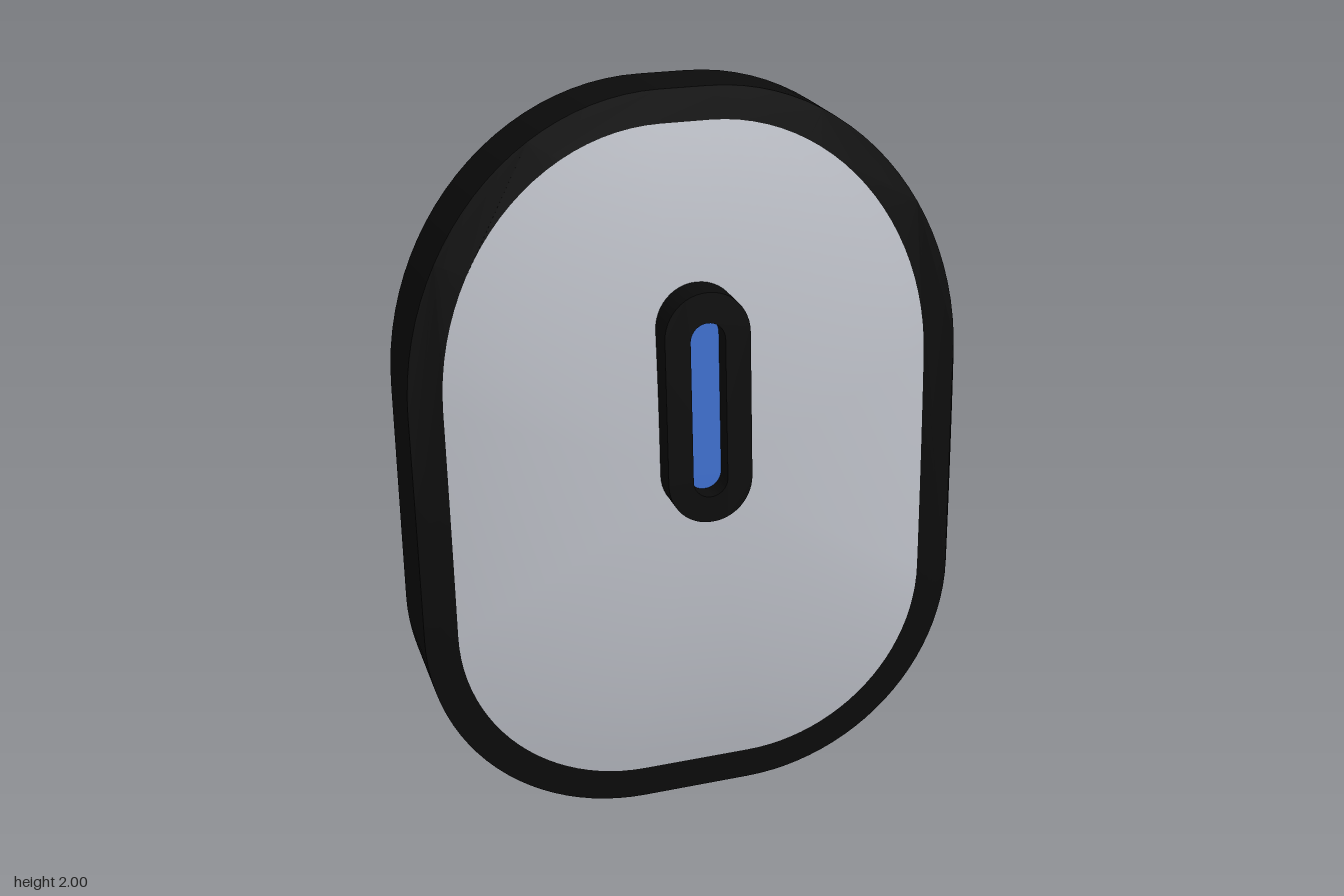
import * as THREE from 'three';
import { toCreasedNormals } from 'three/addons/utils/BufferGeometryUtils.js';

// Surface depth rules: the front leans back towards the top, the back is nearly flat
const rimZ = y => 0.09 - 0.0275 * y * y;
const backZ = y => -0.185 - 0.01 * y;
const slotZ = y => 0.21 - 0.0726 * (y - 0.9);
const CENTER_Y = 1.0;

// Counter-clockwise rounded outline with separate elliptical top and bottom corners
function outline(hw, y0, y1, [tx, ty], [bx, by], corner = 24, side = 8) {
  const pts = [];
  const arc = (cx, cy, rx, ry, start) => {
    for (let i = 0; i <= corner; i++) {
      const a = start + (i / corner) * Math.PI / 2;
      pts.push(new THREE.Vector2(cx + rx * Math.cos(a), cy + ry * Math.sin(a)));
    }
  };
  const straight = (x, ya, yb) => {
    for (let i = 1; i < side; i++) pts.push(new THREE.Vector2(x, ya + (yb - ya) * i / side));
  };
  arc(hw - bx, y0 + by, bx, by, -Math.PI / 2);
  straight(hw, y0 + by, y1 - ty);
  arc(hw - tx, y1 - ty, tx, ty, 0);
  arc(-hw + tx, y1 - ty, tx, ty, Math.PI / 2);
  straight(-hw, y1 - ty, y0 + by);
  arc(-hw + bx, y0 + by, bx, by, Math.PI);
  return pts;
}

const pill = (hw, y0, y1) => outline(hw, y0, y1, [hw * 0.98, hw], [hw * 0.98, hw], 12, 4);

// Extruded outline whose two faces follow depth rules
function slab(outer, hole, front, back) {
  const shape = new THREE.Shape(outer);
  if (hole) shape.holes.push(new THREE.Path(hole));
  const geo = new THREE.ExtrudeGeometry(shape, { depth: 1, bevelEnabled: false });
  const p = geo.attributes.position;
  for (let i = 0; i < p.count; i++) {
    const y = p.getY(i);
    p.setZ(i, p.getZ(i) > 0.5 ? front(y) : back(y));
  }
  return toCreasedNormals(geo, 0.6);
}

// Bulging panel made of concentric loops of the outline
function dome(edge, bulge, rings) {
  const pos = [0, CENTER_Y, rimZ(CENTER_Y) + bulge], idx = [], n = edge.length;
  for (let k = 1; k <= rings; k++) {
    const r = k / rings;
    for (const e of edge) {
      const y = CENTER_Y + (e.y - CENTER_Y) * r;
      pos.push(e.x * r, y, rimZ(y) + bulge * (1 - r ** 2.4));
    }
  }
  for (let j = 0; j < n; j++) {
    const j2 = (j + 1) % n;
    idx.push(0, 1 + j, 1 + j2);
    for (let k = 1; k < rings; k++) {
      const a = 1 + (k - 1) * n, b = a + n;
      idx.push(a + j, b + j, b + j2, a + j, b + j2, a + j2);
    }
  }
  const geo = new THREE.BufferGeometry();
  geo.setAttribute('position', new THREE.Float32BufferAttribute(pos, 3));
  geo.setIndex(idx);
  geo.computeVertexNormals();
  return geo;
}

export function createModel() {
  const group = new THREE.Group();
  const material = (name, color) => {
    const m = new THREE.MeshStandardMaterial({ color });
    m.name = name;
    return m;
  };
  const black = material('black', 0x0b0b0b);
  const grey = material('light grey', 0xbfc2ca);
  const blue = material('blue', 0x3f70d0);
  const add = (name, geo, mat) => {
    const mesh = new THREE.Mesh(geo, mat);
    mesh.name = name;
    group.add(mesh);
  };

  // Body: thick rim, domed front and flat back
  const outer = outline(0.755, 0, 2, [0.69, 0.77], [0.6, 0.6]);
  const inner = outline(0.665, 0.09, 1.915, [0.6, 0.68], [0.51, 0.51]);
  add('rim', slab(outer, inner, rimZ, backZ), black);
  add('frontPanel', dome(inner, 0.068, 16), grey);
  add('backPanel', slab(inner, null, y => backZ(y) + 0.008, backZ), grey);

  // Raised slot frame with a recessed blue window
  const slotHole = pill(0.047, 0.97, 1.44);
  add('slotFrame', slab(pill(0.115, 0.9, 1.52), slotHole, slotZ, () => 0.03), black);
  add('slotWindow', slab(slotHole, null, y => slotZ(y) - 0.055, y => slotZ(y) - 0.063), blue);

  // Matching ring on the back
  add('backSlotRing', slab(pill(0.1, 0.93, 1.5), pill(0.05, 0.985, 1.445),
    y => backZ(y) + 0.002, y => backZ(y) - 0.003), black);

  return group;
}
